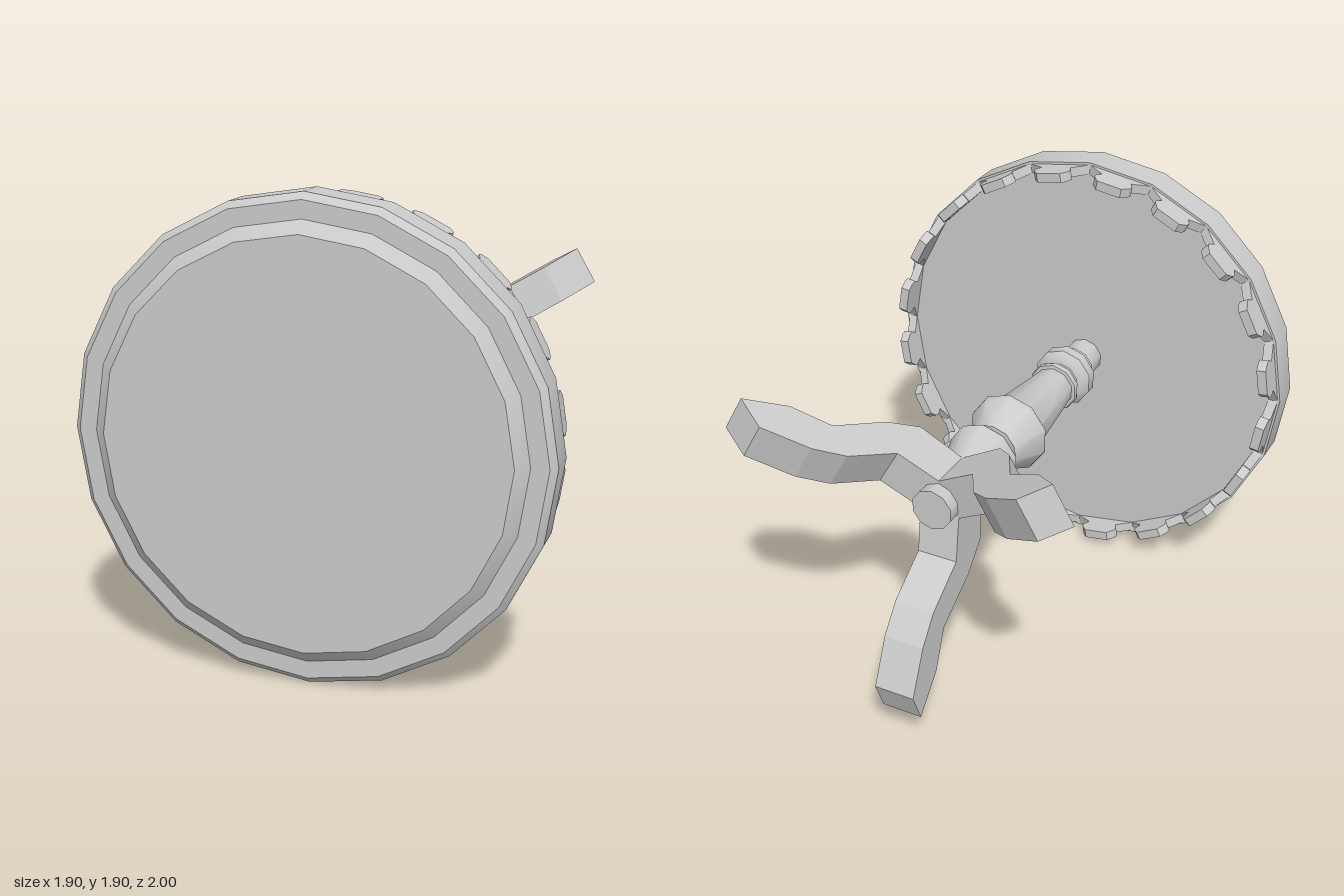
import * as THREE from 'three';
import { toCreasedNormals } from 'three/addons/utils/BufferGeometryUtils.js';

const AXIS_Y = 0.96; // height of the table's axis, which runs along z
const material = new THREE.MeshStandardMaterial({ color: 0xcccccc });

function addMesh(parent, name, geometry) {
  const mesh = new THREE.Mesh(geometry, material);
  mesh.name = name;
  parent.add(mesh);
  return mesh;
}

// Turned part along z, from [radius, z] pairs ordered by rising z
function turned(profile, sides, crease) {
  const points = profile.map(([r, z]) => new THREE.Vector2(r, z));
  const geometry = new THREE.LatheGeometry(points, sides).rotateX(Math.PI / 2);
  return toCreasedNormals(geometry, crease);
}

// Flat outline pushed out to a given thickness
function slab(outline, depth) {
  const shape = new THREE.Shape(outline.map(([x, y]) => new THREE.Vector2(x, y)));
  return new THREE.ExtrudeGeometry(shape, { depth, bevelEnabled: false });
}

export function createModel() {
  const model = new THREE.Group();
  model.name = 'pedestalTable';
  const table = new THREE.Group();
  table.name = 'tableOnItsSide';
  table.position.y = AXIS_Y;
  model.add(table);

  // Table top with chamfered rim and raised centre
  addMesh(table, 'tableTop', turned([
    [0, 0.79], [0.952, 0.79], [0.952, 0.935], [0.925, 0.96],
    [0.855, 0.96], [0.805, 1], [0, 1],
  ], 20, 0.5));

  // Turned pedestal with collars and bulges
  addMesh(table, 'pedestal', turned([
    [0, -0.66], [0.09, -0.66], [0.09, -0.59], [0.103, -0.39],
    [0.16, -0.22], [0.107, -0.135], [0.176, 0.0], [0.178, 0.022],
    [0.136, 0.075], [0.096, 0.44], [0.096, 0.45], [0.112, 0.452],
    [0.116, 0.465], [0.112, 0.48], [0.085, 0.482], [0.085, 0.525],
    [0.11, 0.53], [0.136, 0.555], [0.136, 0.605], [0.11, 0.632],
    [0.096, 0.635], [0.096, 0.672], [0.085, 0.675], [0.085, 0.795],
  ], 10, 0.7));

  // Three curved legs, one pointing straight down
  const legWidth = 0.176;
  const legGeometry = slab([
    [0, -0.398], [0.26, -0.417], [0.37, -0.524], [0.5, -0.738], [0.67, -0.807],
    [0.815, -0.945], [0.68, -1], [0.485, -0.91], [0.37, -0.818], [0.245, -0.625],
    [0, -0.59],
  ], legWidth);
  legGeometry.translate(0, 0, -legWidth / 2);
  // outline x runs outward along y, outline y along z, thickness along x
  legGeometry.applyMatrix4(new THREE.Matrix4().makeBasis(
    new THREE.Vector3(0, 1, 0), new THREE.Vector3(0, 0, 1), new THREE.Vector3(1, 0, 0)));
  const legs = new THREE.Group();
  legs.name = 'legs';
  table.add(legs);
  for (let i = 0; i < 3; i++) {
    addMesh(legs, 'leg', legGeometry).rotation.z = Math.PI + (i * Math.PI * 2) / 3;
  }

  // Scalloped skirt, one tab behind each side of the top
  const half = [[0.144, -0.79], [0.07, -0.748], [0.087, -0.721], [0.083, -0.7], [0.057, -0.67]];
  const tabOutline = [...half, ...half.map(([x, y]) => [-x, y]).reverse()];
  const tabGeometry = slab(tabOutline, 0.042).rotateX(-Math.PI / 2).translate(0, 0.888, 0);
  const skirt = new THREE.Group();
  skirt.name = 'scallopedSkirt';
  table.add(skirt);
  for (let i = 0; i < 20; i++) {
    addMesh(skirt, 'skirtTab', tabGeometry).rotation.z = ((i + 0.5) * Math.PI) / 10;
  }

  return model;
}
